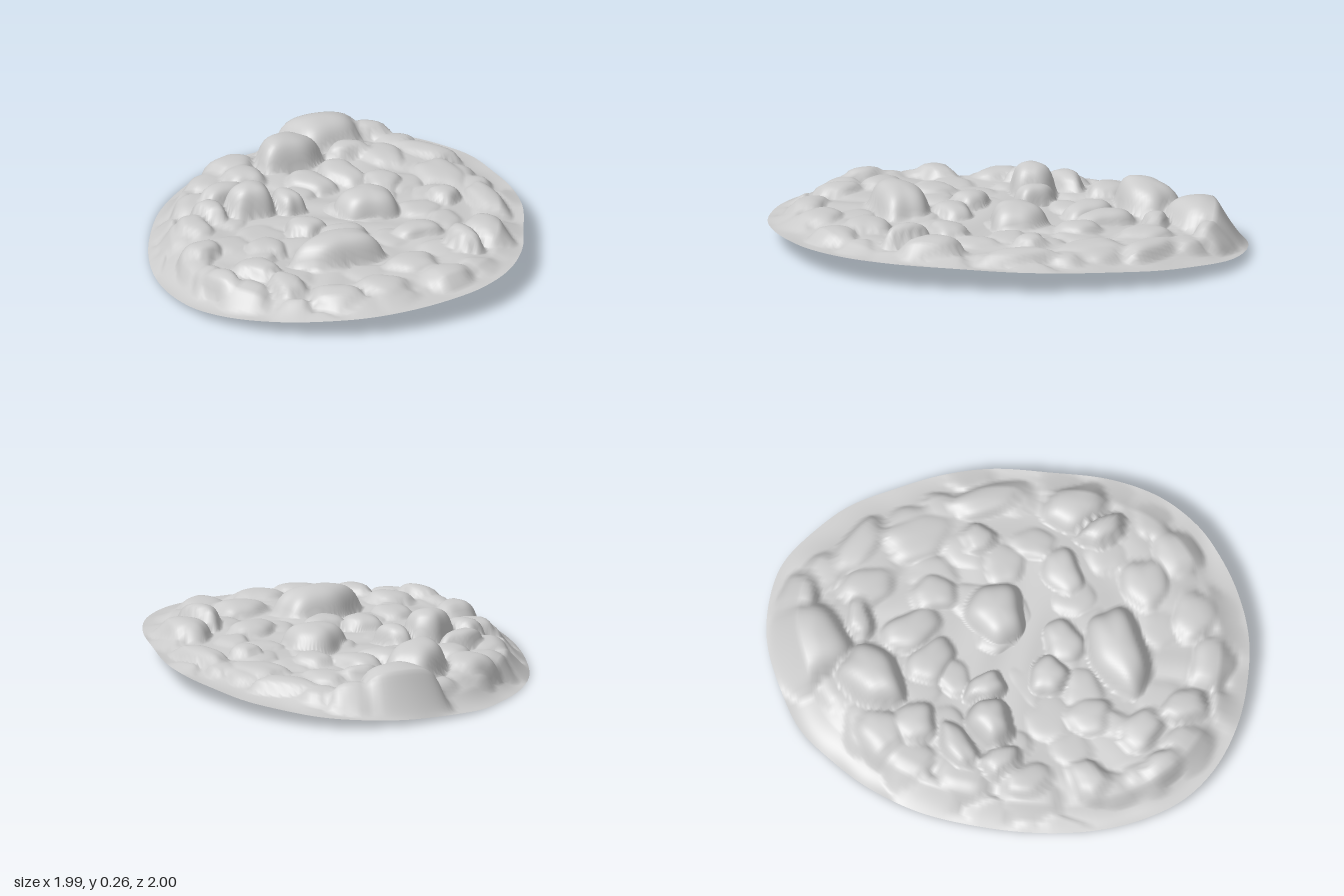
import * as THREE from 'three';

// Plan outline of the patch (x, z), walked once around
const OUTLINE = [
  [-0.35, -1], [-0.2, -0.995], [0, -0.94], [0.2, -0.87], [0.4, -0.76], [0.6, -0.59], [0.8, -0.4],
  [0.93, -0.2], [0.985, 0], [0.985, 0.15], [0.95, 0.35], [0.87, 0.55], [0.76, 0.7], [0.6, 0.85],
  [0.4, 0.96], [0.2, 1], [0, 0.97], [-0.2, 0.89], [-0.4, 0.76], [-0.6, 0.58], [-0.8, 0.34],
  [-0.92, 0.1], [-0.97, -0.08], [-1, -0.28], [-0.97, -0.45], [-0.88, -0.7], [-0.75, -0.86], [-0.6, -0.96],
];

// Main stones: x, z, half width, half depth, turn, top height, tilt to the front
const BIG_STONES = [
  [-0.62, -0.27, 0.13, 0.17, -0.1, 0.26, 0.03], [-0.76, -0.57, 0.19, 0.2, 0.3, 0.235, 0],
  [0.01, -0.18, 0.13, 0.15, 0.3, 0.232, 0.005], [-0.32, 0.23, 0.1, 0.12, 0.2, 0.268, 0],
  [0.34, 0.29, 0.13, 0.22, 0.27, 0.26, 0], [0.6, -0.38, 0.16, 0.11, 0.15, 0.21, 0],
  [-0.24, 0.08, 0.1, 0.07, 0.2, 0.215, 0], [-0.5, 0.23, 0.07, 0.13, 0.1, 0.2, 0],
  [-0.39, 0.4, 0.1, 0.07, 0.1, 0.2, 0], [-0.12, 0.7, 0.08, 0.11, 0, 0.175, 0],
  [0.02, 0.2, 0.1, 0.09, -0.5, 0.195, 0], [0.62, -0.21, 0.12, 0.07, 0.1, 0.235, 0],
];
// Cobbles: x, z, half width, half depth, turn, top height
const SMALL_STONES = [
  [-0.5, -0.52, 0.06, 0.11, 0.5, 0.19], [-0.34, -0.34, 0.15, 0.09, 0.1, 0.18],
  [-0.36, -0.17, 0.13, 0.09, -0.2, 0.175], [-0.16, -0.42, 0.11, 0.09, 0.4, 0.175],
  [0.15, -0.51, 0.08, 0.08, 0, 0.185], [0.3, -0.64, 0.19, 0.08, 0.3, 0.172],
  [0.36, -0.16, 0.09, 0.13, 0.2, 0.185], [0.17, 0.11, 0.09, 0.12, 0.2, 0.185],
  [0.63, 0.1, 0.12, 0.13, 0.5, 0.185], [0.82, 0.06, 0.12, 0.12, 0.3, 0.18],
  [0.72, 0.35, 0.13, 0.11, -0.4, 0.172], [0.65, 0.57, 0.13, 0.1, -0.6, 0.17],
  [0.43, 0.67, 0.12, 0.08, 0.3, 0.18], [0.2, 0.65, 0.12, 0.09, -0.3, 0.18],
  [0.18, 0.84, 0.11, 0.07, 0, 0.18], [-0.34, 0.54, 0.12, 0.08, 0.3, 0.165],
  [-0.6, 0.02, 0.11, 0.1, 0.3, 0.185], [-0.74, -0.03, 0.11, 0.12, 0, 0.175],
  [-0.65, -0.78, 0.11, 0.09, -0.6, 0.19], [-0.3, -0.8, 0.16, 0.08, -0.3, 0.16],
  [-0.05, -0.68, 0.17, 0.11, 0.2, 0.16], [-0.38, -0.62, 0.13, 0.1, 0.2, 0.165],
  [0.05, 0.46, 0.11, 0.1, 0.6, 0.172],
];

// Low pebbles in the gaps, one per cell of a jittered grid
let seed = 7;
const random = () => (seed = (seed * 16807) % 2147483647) / 2147483647;
const PEBBLES = [];
for (let x = -0.8; x < 0.9; x += 0.22) {
  for (let z = -0.8; z < 0.9; z += 0.22) {
    PEBBLES.push([x + 0.1 * random(), z + 0.1 * random(), 0.07 + 0.05 * random(), 0.07 + 0.05 * random(),
      3 * random(), 0.136 + 0.018 * random() + 0.015 * x]);
  }
}
const STONES = [...BIG_STONES, ...SMALL_STONES, ...PEBBLES];

// Flattened top with steep, uneven sides falling to ground level
function stoneHeight([sx, sz, rx, rz, turn, top, tilt = 0], x, z) {
  const c = Math.cos(turn), s = Math.sin(turn), dx = x - sx, dz = z - sz;
  const u = (c * dx + s * dz) / rx, v = (c * dz - s * dx) / rz;
  const a = Math.atan2(v, u);
  const d2 = Math.sqrt(u ** 4 + v ** 4 + 1.4 * u * u * v * v)
    * (1 + 0.13 * Math.sin(3 * a + 20 * sx) + 0.08 * Math.sin(5 * a + 30 * sz));
  return top + tilt * v + 0.008 * u * Math.sin(40 * sx) - (top - 0.12) * (0.3 * d2 + 0.7 * d2 ** 3);
}

// Height at plan point (x, z); t runs from 0 in the middle to 1 at the rim
function surfaceHeight(x, z, t) {
  const rim = Math.max(0, 0.06 + 0.057 * x - 0.03 * z);
  const inward = 1 - THREE.MathUtils.smoothstep(t, 0.72, 1.04);
  const edge = Math.min(1, (1 - t) / 0.12);
  let h = THREE.MathUtils.lerp(rim, 0.128 + 0.02 * x, inward)
    + 0.01 * Math.sin(9 * x + 3 * Math.sin(5 * z)) * Math.cos(10 * z + 2 * Math.sin(6 * x));
  // Pebbles and cobbles sink towards the rim along with the ground
  const sink = 0.5 * (0.128 + 0.02 * x - rim) * THREE.MathUtils.smoothstep(t, 0.8, 1);
  for (const stone of STONES) h = Math.max(h, stoneHeight(stone, x, z) - sink);
  return THREE.MathUtils.lerp(rim, h, edge);
}

export function createModel() {
  const group = new THREE.Group();
  group.name = 'rubblePatch';

  const curve = new THREE.CatmullRomCurve3(OUTLINE.map(([x, z]) => new THREE.Vector3(x, 0, z)), true);
  const RINGS = 90, SIDES = 220;
  const border = curve.getSpacedPoints(SIDES);
  const positions = [0, surfaceHeight(0, 0, 0), 0], index = [];

  // Concentric rings from the middle out to the rim
  for (let r = 1; r <= RINGS; r++) {
    const t = r / RINGS;
    for (let i = 0; i < SIDES; i++) {
      const x = border[i].x * t, z = border[i].z * t;
      positions.push(x, surfaceHeight(x, z, t), z);
    }
  }
  const at = (r, i) => 1 + (r - 1) * SIDES + (i % SIDES);
  for (let i = 0; i < SIDES; i++) {
    index.push(0, at(1, i + 1), at(1, i));
    for (let r = 1; r < RINGS; r++) {
      const a = at(r, i), b = at(r, i + 1), c = at(r + 1, i), d = at(r + 1, i + 1);
      index.push(a, b, c, b, d, c);
    }
  }

  const geometry = new THREE.BufferGeometry();
  geometry.setAttribute('position', new THREE.Float32BufferAttribute(positions, 3));
  geometry.setIndex(index);
  geometry.computeVertexNormals();

  // Open shell: hollow underneath
  const shell = new THREE.Mesh(geometry, new THREE.MeshStandardMaterial({ color: 0xcccccc, side: THREE.DoubleSide }));
  shell.name = 'stonyGround';
  group.add(shell);
  return group;
}
